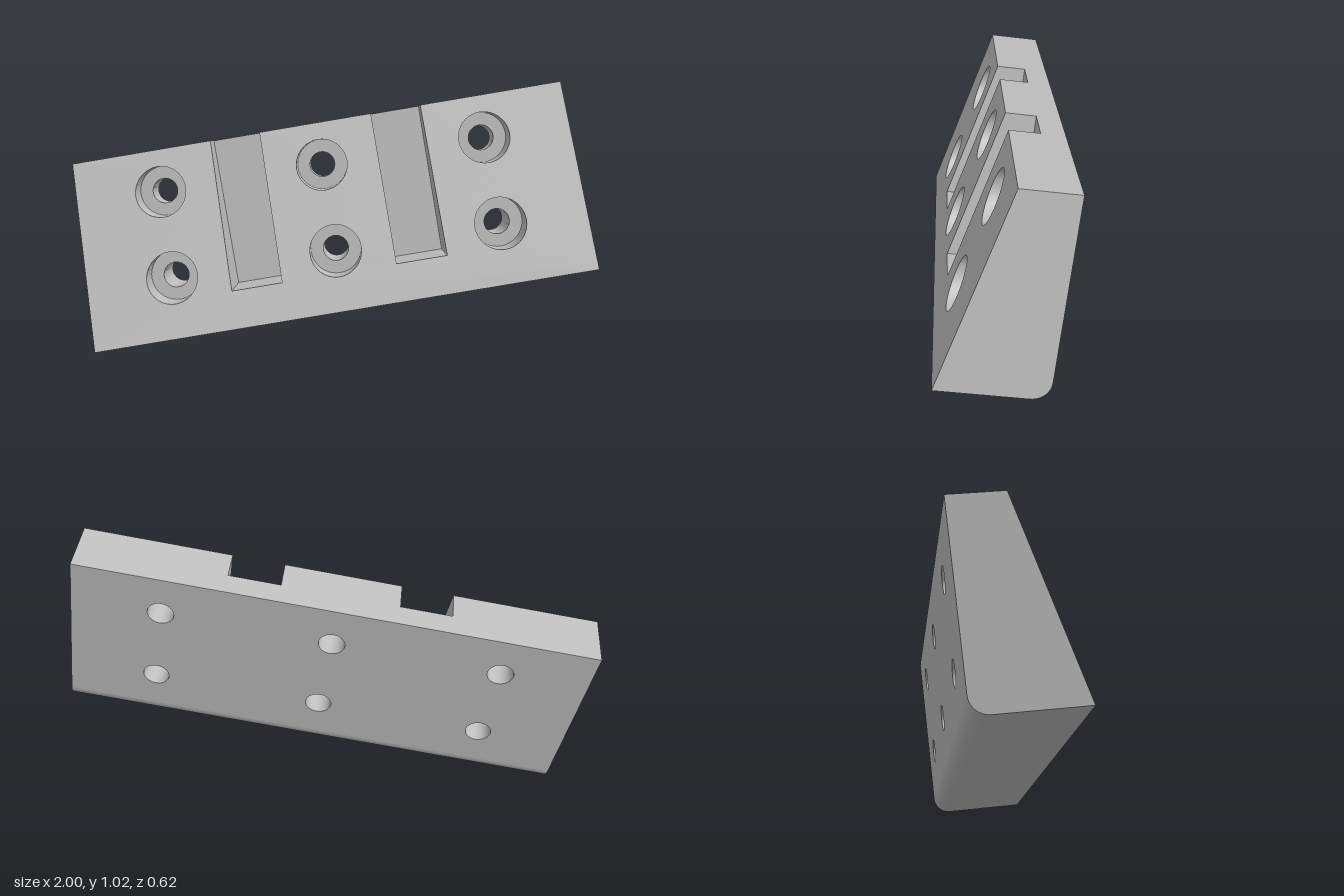
import * as THREE from 'three';
import { mergeVertices } from 'three/addons/utils/BufferGeometryUtils.js';

// Block sizes in its own frame: x along the length, y up the back, -z into the depth
const L = 1.884, H = 0.705, D = 0.377, LEAN = 0.18 / 0.705, R = 0.065;
const SLOT = { centres: [-0.31, 0.31], half: 0.095, bottom: 0.139, depth: 0.29 };
const HOLES = { xs: [-0.62, 0, 0.62], ys: [0.222, 0.545], outer: 0.096, inner: 0.048, depth: 0.11 };
const SEG = 40;

const frontZ = (y) => -LEAN * y;
const v3 = (x, y, z) => new THREE.Vector3(x, y, z);
const shapeOf = (pts) => new THREE.Shape(pts.map(([x, y]) => new THREE.Vector2(x, y)));

const circle = (cx, cy, r) => Array.from({ length: SEG + 1 }, (_, i) => {
  const a = (i % SEG) / SEG * Math.PI * 2;
  return [cx + r * Math.cos(a), cy + r * Math.sin(a)];
});

// Ruled surface between two rows of points
function strip(a, b) {
  const pos = [], index = [];
  a.forEach((p, i) => {
    pos.push(...p.toArray(), ...b[i].toArray());
    if (i) index.push(2 * i - 2, 2 * i - 1, 2 * i, 2 * i, 2 * i - 1, 2 * i + 1);
  });
  let g = new THREE.BufferGeometry();
  g.setAttribute('position', new THREE.Float32BufferAttribute(pos, 3));
  g.setIndex(index);
  g = mergeVertices(g, 1e-5);
  g.computeVertexNormals();
  return g;
}

// Flat face with round holes; each vertex is placed in depth by a rule
function drilledFace(outline, radius, depthRule) {
  const s = shapeOf(outline);
  for (const x of HOLES.xs) for (const y of HOLES.ys) {
    s.holes.push(new THREE.Path(circle(x, y, radius).slice(0, SEG).map(([px, py]) => new THREE.Vector2(px, py))));
  }
  const g = new THREE.ShapeGeometry(s);
  const p = g.attributes.position;
  for (let i = 0; i < p.count; i++) p.setZ(i, depthRule(p.getY(i)));
  g.computeVertexNormals();
  return g;
}

export function createModel() {
  const grey = new THREE.MeshStandardMaterial({ color: 0xbfbfbf, side: THREE.DoubleSide });
  grey.name = 'grey';
  const block = new THREE.Group();
  block.name = 'wedgeBlock';
  const add = (name, geometry) => {
    const m = new THREE.Mesh(geometry, grey);
    m.name = name;
    block.add(m);
    return m;
  };
  const h = L / 2;
  const [s1, s2] = SLOT.centres, sw = SLOT.half, sb = SLOT.bottom, sd = SLOT.depth;

  // Leaning front face, notched by the slots
  add('frontFace', drilledFace([
    [-h, 0], [h, 0], [h, H], [s2 + sw, H], [s2 + sw, sb], [s2 - sw, sb], [s2 - sw, H],
    [s1 + sw, H], [s1 + sw, sb], [s1 - sw, sb], [s1 - sw, H], [-h, H],
  ], HOLES.outer, frontZ));

  // Upright back face
  const back = drilledFace([[-h, R], [h, R], [h, H], [-h, H]], HOLES.inner, () => D);
  back.rotateY(Math.PI);
  add('backFace', back);

  // Top face
  const t = LEAN * H;
  const top = new THREE.ShapeGeometry(shapeOf([
    [-h, t], [s1 - sw, t], [s1 - sw, sd], [s1 + sw, sd], [s1 + sw, t],
    [s2 - sw, t], [s2 - sw, sd], [s2 + sw, sd], [s2 + sw, t], [h, t], [h, D], [-h, D],
  ]));
  add('topFace', top.rotateX(-Math.PI / 2).translate(0, H, 0));

  // Base and its rounded rear edge
  const edge = Array.from({ length: 13 }, (_, i) => {
    const a = i / 12 * Math.PI / 2;
    return [D - R + R * Math.sin(a), R - R * Math.cos(a)];
  });
  const sweep = (pts) => strip(pts.map(([w, y]) => v3(-h, y, -w)), pts.map(([w, y]) => v3(h, y, -w)));
  add('baseFace', sweep([[D - R, 0], [0, 0]]));
  add('roundedEdge', sweep([...edge].reverse()));

  // End caps
  const profile = shapeOf([[0, 0], ...edge, [D, H], [t, H]]);
  for (const side of [1, -1]) {
    const g = new THREE.ShapeGeometry(profile).rotateY(Math.PI / 2);
    if (side < 0) {
      const ix = g.index.array;
      for (let i = 0; i < ix.length; i += 3) [ix[i], ix[i + 1]] = [ix[i + 1], ix[i]];
      g.computeVertexNormals();
    }
    add(side > 0 ? 'leftEnd' : 'rightEnd', g.translate(side * h, 0, 0));
  }

  // Slots: rear wall, ledge and two side walls
  for (const c of SLOT.centres) {
    const a = c - sw, b = c + sw;
    add('slotRearWall', strip([v3(a, H, -sd), v3(b, H, -sd)], [v3(a, sb, -sd), v3(b, sb, -sd)]));
    add('slotLedge', strip([v3(a, sb, -sd), v3(b, sb, -sd)], [v3(a, sb, frontZ(sb)), v3(b, sb, frontZ(sb))]));
    for (const x of [a, b]) {
      const front = [v3(x, sb, frontZ(sb)), v3(x, H, frontZ(H))];
      const rear = [v3(x, sb, -sd), v3(x, H, -sd)];
      add('slotSideWall', x === a ? strip(front, rear) : strip(rear, front));
    }
  }

  // Counterbored screw holes
  for (const x of HOLES.xs) for (const y of HOLES.ys) {
    const floor = frontZ(y) - HOLES.depth;
    const big = circle(x, y, HOLES.outer), small = circle(x, y, HOLES.inner);
    add('counterbore', strip(big.map(([px, py]) => v3(px, py, floor)), big.map(([px, py]) => v3(px, py, frontZ(py)))));
    add('counterboreFloor', new THREE.RingGeometry(HOLES.inner, HOLES.outer, SEG).translate(x, y, floor));
    add('throughHole', strip(small.map(([px, py]) => v3(px, py, -D)), small.map(([px, py]) => v3(px, py, floor))));
  }

  // Tilted resting pose
  const u = v3(0.982, 0.1672, -0.0876).normalize();
  const out = v3(0.066, 0.13, 0.989);
  out.addScaledVector(u, -out.dot(u)).normalize();
  const up = new THREE.Vector3().crossVectors(out, u);
  block.quaternion.setFromRotationMatrix(new THREE.Matrix4().makeBasis(u, up, out));
  block.position.set(0.075, 0.203, 0.2275);

  const model = new THREE.Group();
  model.name = 'model';
  model.add(block);
  return model;
}
